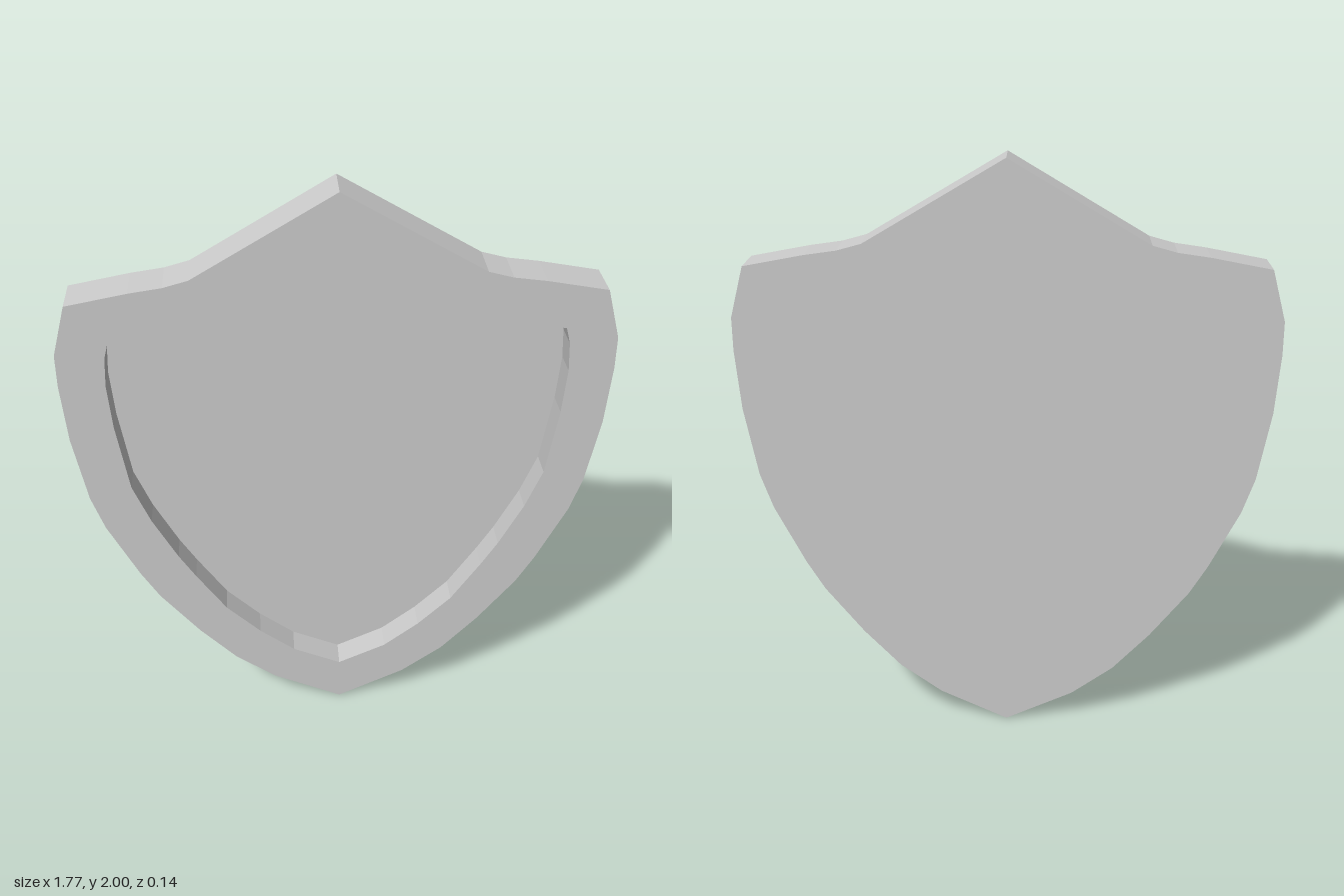
import * as THREE from 'three';

// Half outlines from the top point to the bottom point, on the +x side
const OUTER = [
  [0, 2], [0.455, 1.732], [0.535, 1.71], [0.64, 1.695], [0.836, 1.658],
  [0.883, 1.49], [0.884, 1.38], [0.87, 1.18], [0.83, 0.947], [0.79, 0.825],
  [0.69, 0.62], [0.63, 0.517], [0.5, 0.35], [0.375, 0.215], [0.233, 0.11], [0, 0],
];
const INNER = [
  [0, 1.827], [0.4, 1.597], [0.5, 1.565], [0.59, 1.55], [0.715, 1.53],
  [0.73, 1.475], [0.736, 1.375], [0.725, 1.22], [0.69, 0.985], [0.635, 0.845],
  [0.555, 0.69], [0.5, 0.6], [0.4, 0.45], [0.285, 0.335], [0.165, 0.24], [0, 0.165],
];

const THICKNESS = 0.145;
const RECESS = 0.095;

// Mirror a half outline into a closed counter-clockwise ring
function ring(half) {
  const mirrored = half.map(([x, y]) => [-x, y]);
  const back = half.slice(1, -1).reverse();
  return [...mirrored, ...back].map(([x, y]) => new THREE.Vector2(x, y));
}

function slab(name, shape, depth, z, material) {
  const geometry = new THREE.ExtrudeGeometry(shape, { depth, bevelEnabled: false });
  const mesh = new THREE.Mesh(geometry, material);
  mesh.name = name;
  mesh.position.z = z;
  return mesh;
}

export function createModel() {
  const group = new THREE.Group();
  group.name = 'shield';
  const material = new THREE.MeshStandardMaterial({ color: 0xcccccc, flatShading: true });

  // Solid back plate, whose front is the floor of the recess
  const plate = new THREE.Shape(ring(OUTER));
  group.add(slab('backPlate', plate, THICKNESS - RECESS, -THICKNESS / 2, material));

  // Raised rim around the recess
  const rim = new THREE.Shape(ring(OUTER));
  rim.holes.push(new THREE.Path(ring(INNER)));
  group.add(slab('rim', rim, RECESS, THICKNESS / 2 - RECESS, material));

  return group;
}
